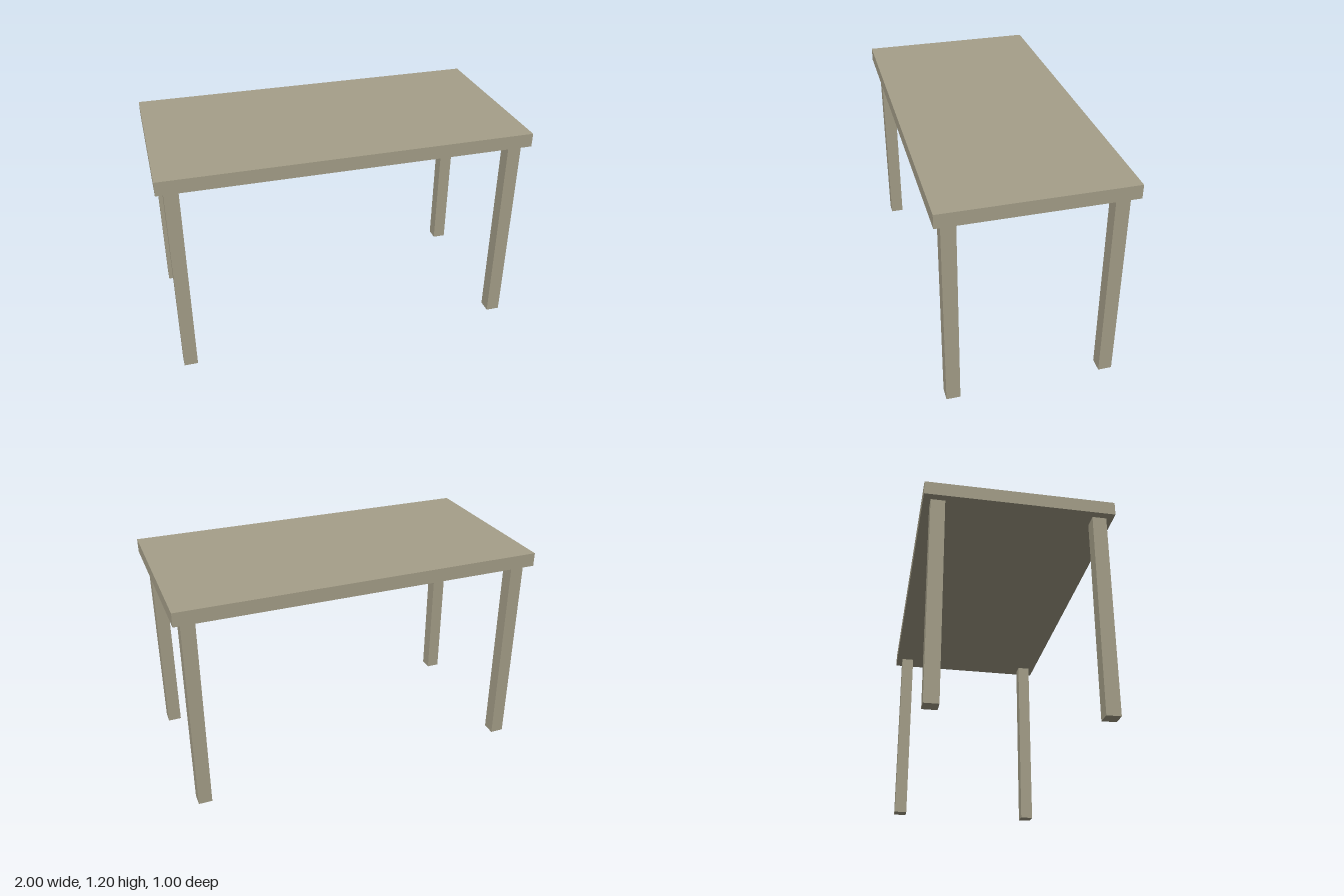
import * as THREE from 'three';

const TOP_HEIGHT = 1.195;
const THICKNESS = 0.075;
const LEG_HEIGHT = TOP_HEIGHT - THICKNESS;

export function createModel() {
  const table = new THREE.Group();
  table.name = 'table';

  const wood = new THREE.MeshStandardMaterial({ color: 0xa59f89 });
  wood.name = 'greyBeigeWood';

  // Flat rectangular top
  const top = new THREE.Mesh(new THREE.BoxGeometry(2, THICKNESS, 1), wood);
  top.name = 'tableTop';
  top.position.y = TOP_HEIGHT - THICKNESS / 2;
  table.add(top);

  // Four square legs, slightly inset from the corners
  const legGeometry = new THREE.BoxGeometry(THICKNESS, LEG_HEIGHT, THICKNESS);
  for (const [xSide, xName] of [[1, 'Left'], [-1, 'Right']]) {
    for (const [zSide, zName] of [[1, 'front'], [-1, 'back']]) {
      const leg = new THREE.Mesh(legGeometry, wood);
      leg.name = `${zName}${xName}Leg`;
      leg.position.set(xSide * 0.9225, LEG_HEIGHT / 2, zSide * 0.425);
      table.add(leg);
    }
  }

  return table;
}
